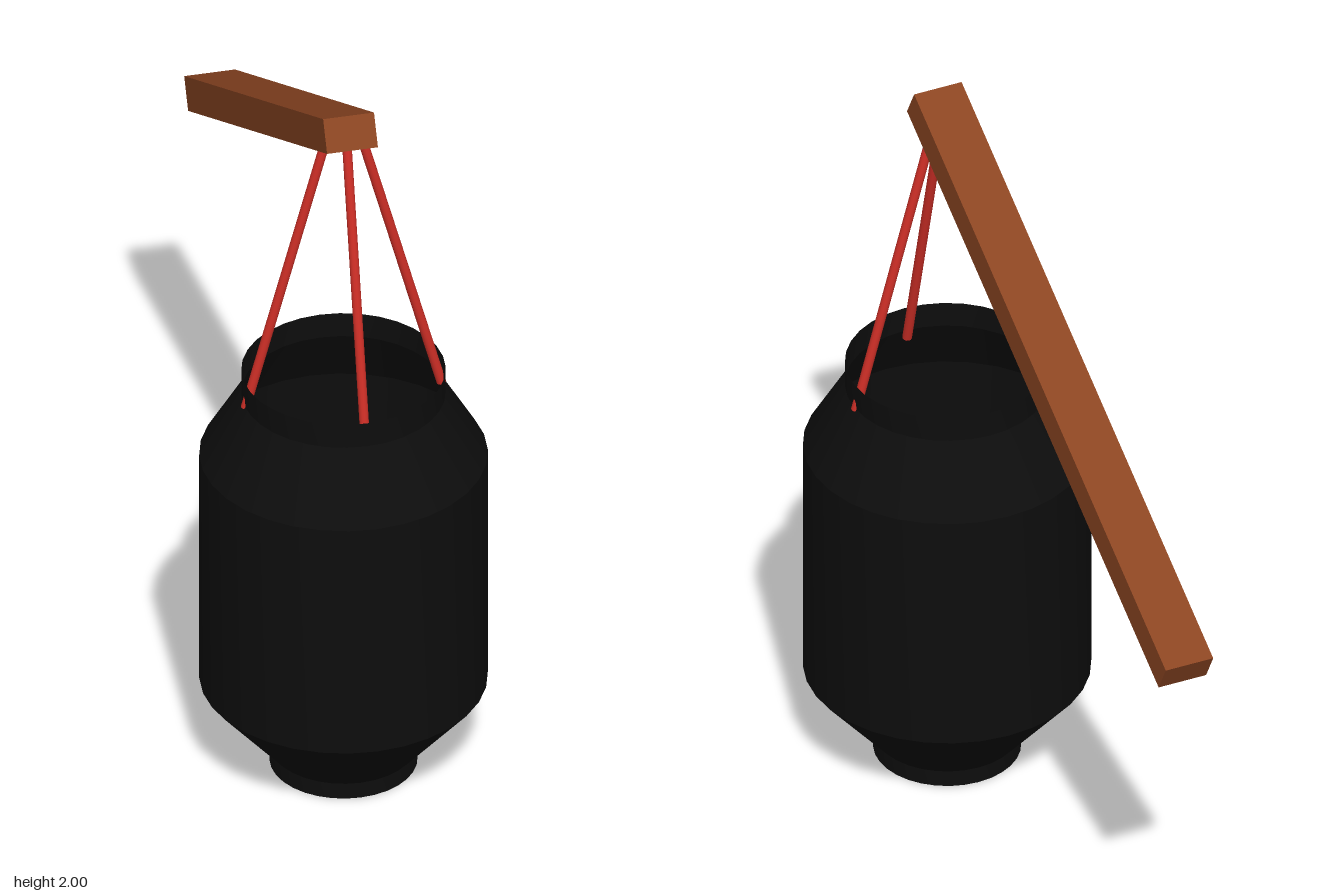
import * as THREE from 'three';
import { toCreasedNormals } from 'three/addons/utils/BufferGeometryUtils.js';

const V = (x, y, z) => new THREE.Vector3(x, y, z);
const POT_Z = 0.553;

function addMesh(parent, name, geometry, material) {
  const mesh = new THREE.Mesh(geometry, material);
  mesh.name = name;
  parent.add(mesh);
  return mesh;
}

// Straight round rod between two points
function addRope(parent, name, from, to, material) {
  const dir = to.clone().sub(from);
  const rope = addMesh(parent, name, new THREE.CylinderGeometry(0.0125, 0.0125, dir.length(), 12), material);
  rope.position.copy(from).add(to).multiplyScalar(0.5);
  rope.quaternion.setFromUnitVectors(V(0, 1, 0), dir.normalize());
}

export function createModel() {
  const model = new THREE.Group();
  model.name = 'hangingLantern';
  const wood = new THREE.MeshStandardMaterial({ color: 0x8b4522 });
  const red = new THREE.MeshStandardMaterial({ color: 0xcc2e26 });
  const black = new THREE.MeshStandardMaterial({ color: 0x0d0d0d, side: THREE.DoubleSide });

  // Thin-walled vessel: closed base, foot, flare, belly, shoulder and open neck
  const profile = [
    [0, 0], [0.19, 0], [0.19, 0.045], [0.37, 0.255],
    [0.37, 0.935], [0.262, 1.12], [0.262, 1.19],
  ].map(([r, y]) => new THREE.Vector2(r, y));
  const body = toCreasedNormals(new THREE.LatheGeometry(profile, 32), 0.4);
  addMesh(model, 'lanternBody', body, black).position.z = POT_Z;

  // Sloping carrying handle, raised at the front
  const handle = addMesh(model, 'handle', new THREE.BoxGeometry(0.134, 0.09, 1.745), wood);
  handle.position.set(0, 1.541, -0.134);
  handle.rotation.x = -0.502;

  // Three ropes from the handle tip to the neck
  for (const [name, s] of [['leftRope', 1], ['rightRope', -1]]) {
    addRope(model, name, V(s * 0.048, 1.89, POT_Z), V(s * 0.258, 1.112, POT_Z), red);
  }
  addRope(model, 'frontRope', V(0, 1.91, 0.588), V(0, 1.112, 0.796), red);

  return model;
}
